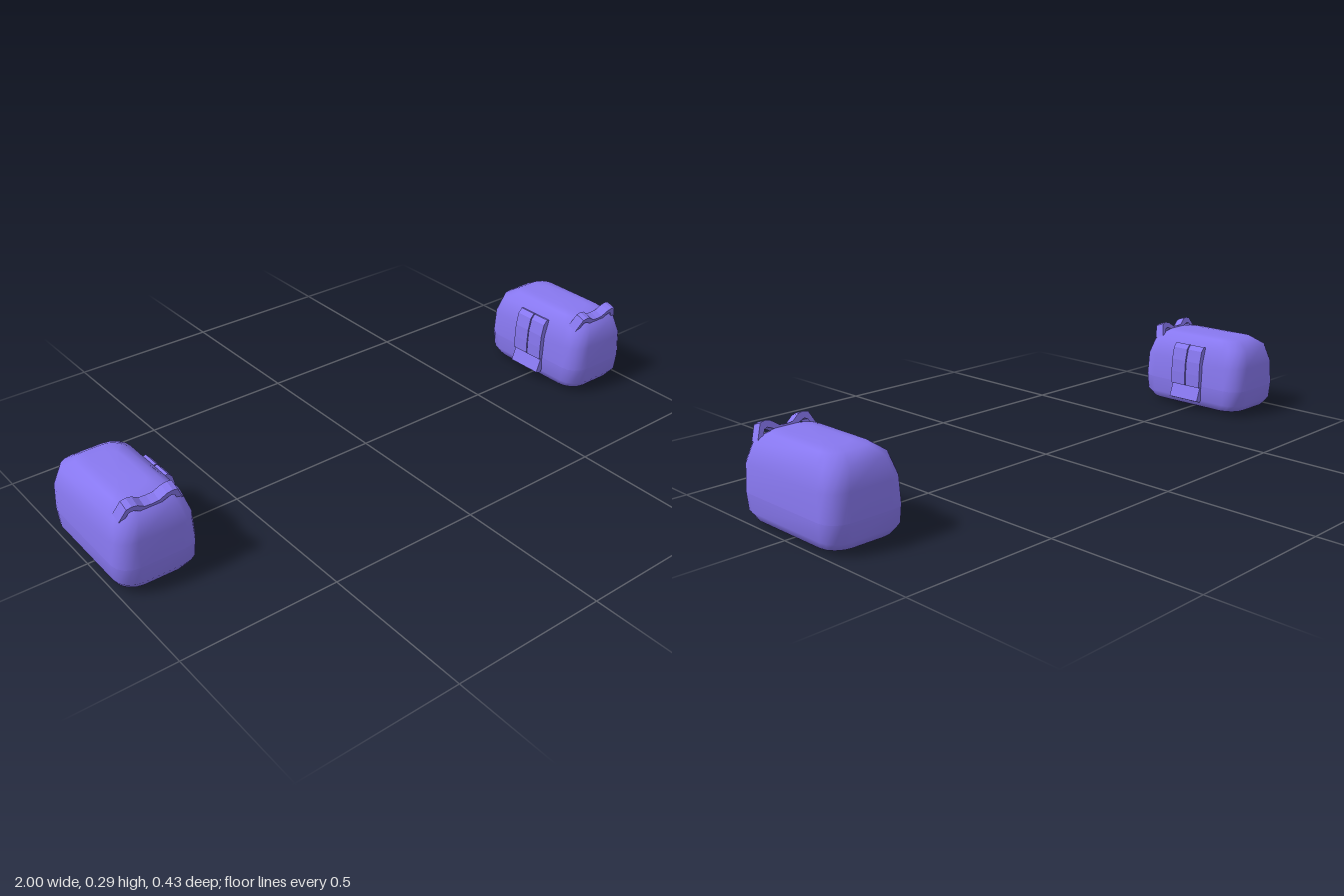
import * as THREE from 'three';

const material = new THREE.MeshStandardMaterial({ color: 0x8878f0 });

// Rounded rectangle around y, as a closed ring of points
function ring([y, hx, hz]) {
  const r = Math.min(0.06, hx * 0.6), steps = 4, pts = [];
  const corners = [[1, 1], [-1, 1], [-1, -1], [1, -1]];
  corners.forEach(([sx, sz], c) => {
    for (let i = 0; i <= steps; i++) {
      const a = (c + i / steps) * Math.PI / 2;
      pts.push([sx * (hx - r) + r * Math.cos(a), y, sz * (hz - r) + r * Math.sin(a)]);
    }
  });
  return pts;
}

// Skin through rings from bottom to top; the chosen ends are closed
function loft(levels, capBottom, capTop) {
  const rings = levels.map(ring), n = rings[0].length, last = rings.length - 1;
  const pos = rings.flat(2), index = [];
  for (let k = 0; k < last; k++) {
    for (let i = 0; i < n; i++) {
      const a = k * n + i, b = k * n + (i + 1) % n;
      index.push(a, a + n, b, b, a + n, b + n);
    }
  }
  const count = rings.length * n;
  pos.push(0, levels[0][0], 0, 0, levels[last][0], 0);
  for (let i = 0; i < n; i++) {
    const j = (i + 1) % n;
    if (capBottom) index.push(count, i, j);
    if (capTop) index.push(count + 1, last * n + j, last * n + i);
  }
  const g = new THREE.BufferGeometry();
  g.setAttribute('position', new THREE.Float32BufferAttribute(pos, 3));
  g.setIndex(index);
  g.computeVertexNormals();
  return g;
}

// Flat outline extruded along z, centred on zMid
function slab(points, depth, zMid = 0) {
  const shape = new THREE.Shape(points.map(([x, y]) => new THREE.Vector2(x, y)));
  return new THREE.ExtrudeGeometry(shape, { depth, bevelEnabled: false })
    .translate(0, 0, zMid - depth / 2);
}

function part(group, name, geometry) {
  const mesh = new THREE.Mesh(geometry, material);
  mesh.name = name;
  group.add(mesh);
  return mesh;
}

// One case; inner is the sign of x that faces the other case
function createCase(inner) {
  const group = new THREE.Group();
  const mirror = (pts) => pts.map(([x, y]) => [x * inner, y]);

  // Shell in two halves that meet at the seam
  part(group, 'base', loft([
    [0.002, 0.08, 0.15], [0.015, 0.112, 0.195], [0.04, 0.125, 0.213], [0.094, 0.128, 0.217],
  ], true, false));
  part(group, 'lid', loft([
    [0.094, 0.128, 0.217], [0.175, 0.125, 0.213], [0.236, 0.108, 0.195],
    [0.262, 0.075, 0.15], [0.266, 0.045, 0.1],
  ], false, true));

  // Pair of straps that follow the inner wall
  const strap = mirror([
    [0.11, 0.09], [0.142, 0.09], [0.143, 0.135], [0.141, 0.18],
    [0.132, 0.222], [0.118, 0.237], [0.1, 0.232],
  ]);
  for (const z of [-0.032, 0.032]) part(group, 'strap', slab(strap, 0.06, z));

  // Flared tab below the straps
  part(group, 'tab', slab(mirror([
    [0.115, 0.088], [0.134, 0.088], [0.151, 0.041], [0.133, 0.034], [0.115, 0.05],
  ]), 0.122));

  // Wavy ear band across the front of the lid
  const half = [
    [0, 0.003], [0.022, 0.005], [0.045, 0.022], [0.062, 0.026], [0.078, 0.022], [0.098, -0.022],
  ];
  const under = [
    [0.084, -0.026], [0.07, 0.002], [0.06, 0.006], [0.045, 0], [0.022, -0.016], [0, -0.018],
  ];
  const side = [...half, ...under];
  const flipped = side.slice(1, -1).reverse().map(([x, y]) => [-x, y]);
  const ears = part(group, 'earBand', slab([...side, ...flipped], 0.034));
  ears.position.set(0, 0.258, 0.166);
  ears.rotation.x = 0.34;
  return group;
}

export function createModel() {
  const model = new THREE.Group();
  for (const side of [-1, 1]) {
    const unit = createCase(-side);
    unit.name = side > 0 ? 'leftCase' : 'rightCase';
    unit.position.x = side * 0.872;
    model.add(unit);
  }
  return model;
}
